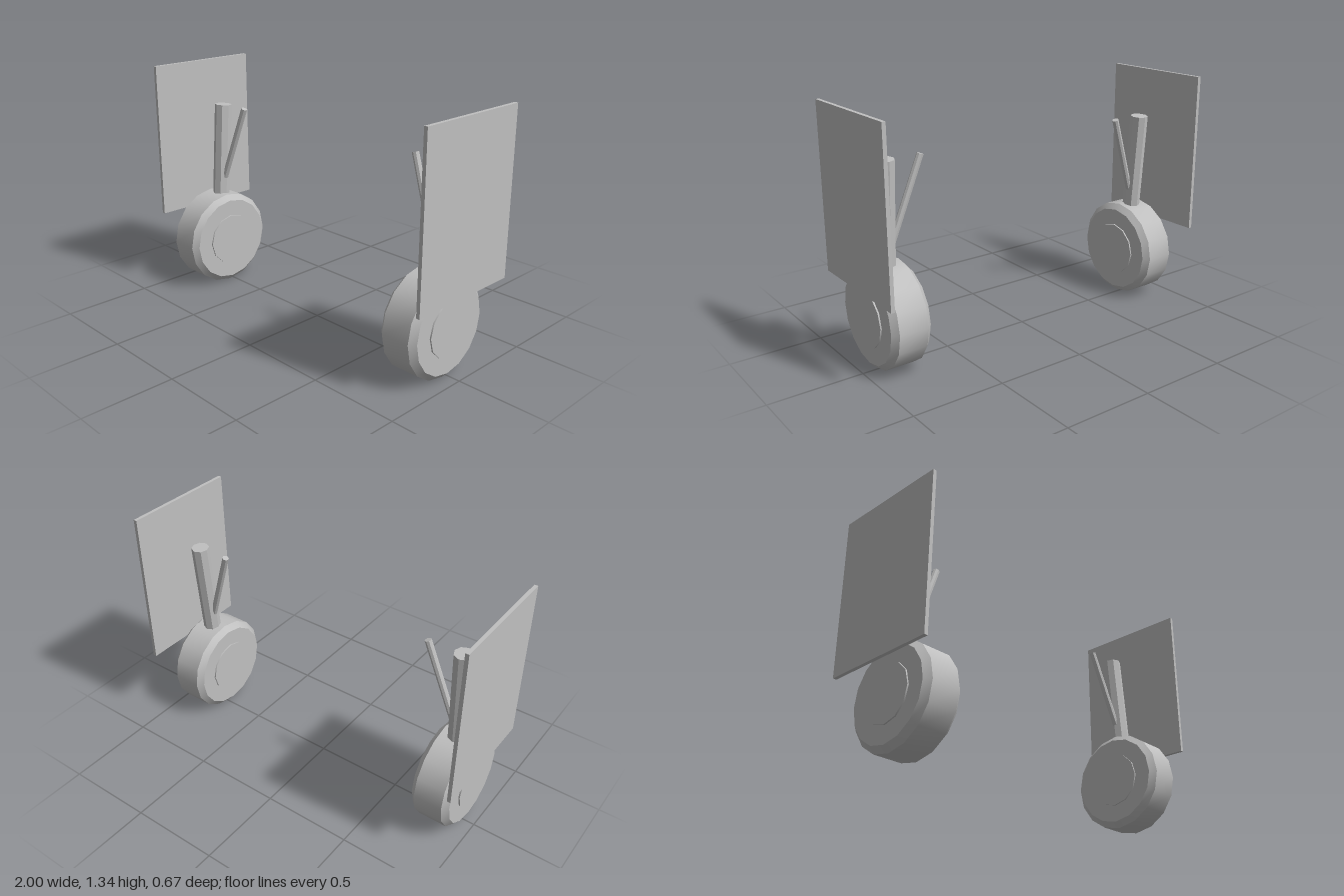
import * as THREE from 'three';
import { toCreasedNormals } from 'three/addons/utils/BufferGeometryUtils.js';

const CREASE = 0.6;

export function createModel() {
  const model = new THREE.Group();
  model.name = 'landingGear';
  const grey = new THREE.MeshStandardMaterial({ color: 0xc0c0c0 });
  grey.name = 'grey metal';

  const part = (parent, name, geometry) => {
    const mesh = new THREE.Mesh(toCreasedNormals(geometry, CREASE), grey);
    mesh.name = name;
    parent.add(mesh);
    return mesh;
  };

  // Straight rod between two points
  const rod = (parent, name, from, to, radius, sides) => {
    const dir = to.clone().sub(from);
    const mesh = part(parent, name, new THREE.CylinderGeometry(radius, radius, dir.length(), sides));
    mesh.position.copy(from).addScaledVector(dir, 0.5);
    mesh.quaternion.setFromUnitVectors(new THREE.Vector3(0, 1, 0), dir.normalize());
  };

  // Tyre profile with bevelled shoulders, spun about the axle
  const tyreProfile = [[0, -0.11], [0.245, -0.11], [0.277, -0.08], [0.277, 0.08], [0.245, 0.11], [0, 0.11]]
    .map(([r, y]) => new THREE.Vector2(r, y));

  for (const [side, s] of [['left', 1], ['right', -1]]) {
    const gear = new THREE.Group();
    gear.name = side + 'Gear';
    model.add(gear);
    const at = (x, y, z) => new THREE.Vector3(s * x, y, z);

    const wheel = new THREE.Group();
    wheel.name = side + 'Wheel';
    wheel.position.copy(at(0.835, 0.277, 0.028));
    wheel.rotation.z = Math.PI / 2;
    gear.add(wheel);
    part(wheel, 'tyre', new THREE.LatheGeometry(tyreProfile, 16));
    part(wheel, 'hub', new THREE.CylinderGeometry(0.152, 0.152, 0.236, 12));

    // Raked main strut and the brace leaning inward from its foot
    rod(gear, 'strut', at(0.835, 0.277, 0.028), at(0.835, 1.09, -0.03), 0.05, 8);
    rod(gear, 'brace', at(0.835, 0.56, 0.008), at(0.643, 1.09, -0.033), 0.018, 8);

    // Outer bay door
    part(gear, 'door', new THREE.BoxGeometry(0.02, 0.89, 0.666)).position.copy(at(0.99, 0.895, 0));
  }
  return model;
}
